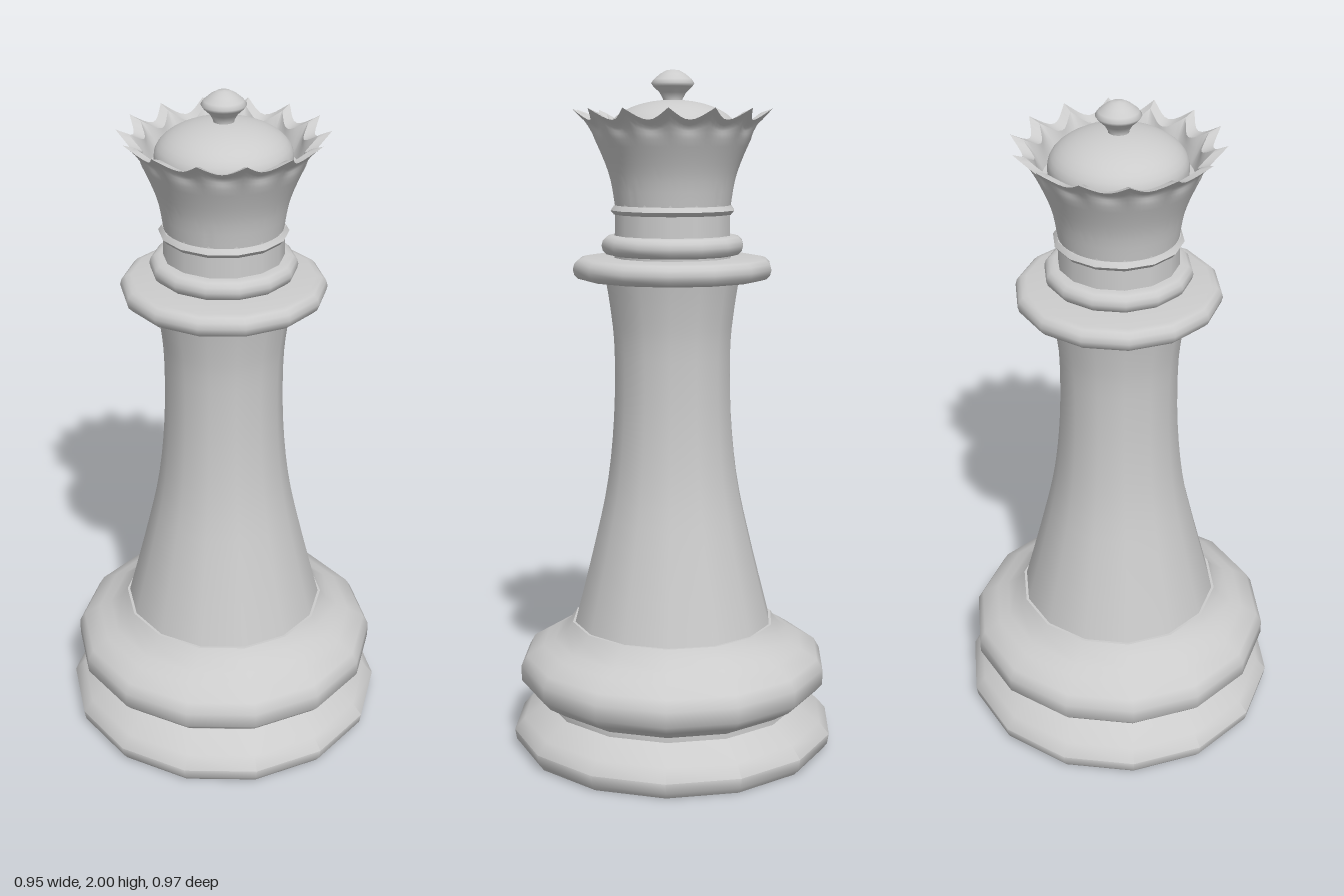
import * as THREE from 'three';
import { toCreasedNormals } from 'three/addons/utils/BufferGeometryUtils.js';

const SIDES = 14;
const material = new THREE.MeshStandardMaterial({ color: 0xcccccc, side: THREE.DoubleSide });
const toPoints = (list) => list.map(([r, y]) => new THREE.Vector2(r, y));

export function createModel() {
  const group = new THREE.Group();

  const add = (name, geometry) => {
    const mesh = new THREE.Mesh(geometry, material);
    mesh.name = name;
    group.add(mesh);
  };
  // Turned part from [radius, height] pairs, bottom to top
  const turn = (name, profile, sides = SIDES, crease = 0.9) =>
    add(name, toCreasedNormals(new THREE.LatheGeometry(toPoints(profile), sides), crease));

  // Two stacked bulges with a waist between them
  turn('base', [
    [0, 0], [0.465, 0], [0.48, 0.02], [0.485, 0.05], [0.455, 0.085], [0.385, 0.13],
    [0.385, 0.145], [0.44, 0.18], [0.462, 0.205], [0.462, 0.25], [0.445, 0.28],
    [0.395, 0.31], [0.36, 0.325], [0.325, 0.35], [0.305, 0.378], [0.28, 0.378],
  ]);

  // Tapered stem
  const stem = new THREE.SplineCurve(toPoints([
    [0.298, 0.375], [0.241, 0.6], [0.197, 0.8], [0.176, 1.0], [0.173, 1.2], [0.184, 1.32], [0.2, 1.42],
  ]));
  add('stem', new THREE.LatheGeometry(stem.getPoints(20), SIDES));

  // Collar rings with rounded rims
  const ring = (name, inner, outer, low, high) => {
    const h = (high - low) / 2, mid = low + h, c = outer - h;
    const profile = [[inner, low]];
    for (let i = 0; i <= 6; i++) {
      const a = -Math.PI / 2 + (i / 6) * Math.PI;
      profile.push([c + h * Math.cos(a), mid + h * Math.sin(a)]);
    }
    profile.push([inner, high]);
    turn(name, profile);
  };
  ring('wideCollar', 0.1, 0.293, 1.405, 1.468);
  ring('narrowCollar', 0.1, 0.209, 1.475, 1.532);
  turn('neck', [[0.172, 1.46], [0.17, 1.54], [0.169, 1.6], [0.168, 1.64]]);
  turn('neckRing', [[0.15, 1.592], [0.172, 1.592], [0.182, 1.604], [0.172, 1.618], [0.15, 1.618]]);

  // Flared crown: the rim dips between its points
  const flare = new THREE.SplineCurve(toPoints([
    [0.167, 1.615], [0.182, 1.7], [0.215, 1.785], [0.25, 1.85], [0.29, 1.89],
  ])).getPoints(14).map((p) => [p.x, p.y]);
  const crown = new THREE.LatheGeometry(toPoints([
    ...flare, [0.256, 1.878], [0.23, 1.835], [0.205, 1.79], [0.17, 1.785],
  ]), SIDES * 8);
  const pos = crown.attributes.position;
  for (let i = 0; i < pos.count; i++) {
    const x = pos.getX(i), y = pos.getY(i), z = pos.getZ(i);
    const r = Math.hypot(x, z);
    const dip = Math.abs(Math.sin((Math.atan2(x, z) * SIDES) / 2));
    const k = dip * THREE.MathUtils.smoothstep(y, 1.8, 1.89);
    const scale = (r - 0.036 * k) / r;
    pos.setXYZ(i, x * scale, y - 0.032 * k, z * scale);
  }
  add('crown', toCreasedNormals(crown, 0.7));

  // Dome inside the crown
  const dome = [[0.19, 1.77]];
  for (let i = 0; i <= 10; i++) {
    const a = (i / 10) * Math.PI / 2;
    dome.push([0.19 * Math.cos(a), 1.82 + 0.096 * Math.sin(a)]);
  }
  add('dome', new THREE.LatheGeometry(toPoints(dome), 40));

  // Finial with a pinched waist and pointed belly
  add('finial', new THREE.LatheGeometry(toPoints([
    [0.03, 1.9], [0.028, 1.918], [0.038, 1.936], [0.056, 1.953], [0.062, 1.962],
    [0.054, 1.973], [0.036, 1.988], [0.018, 1.998], [0, 2],
  ]), 32));

  return group;
}
